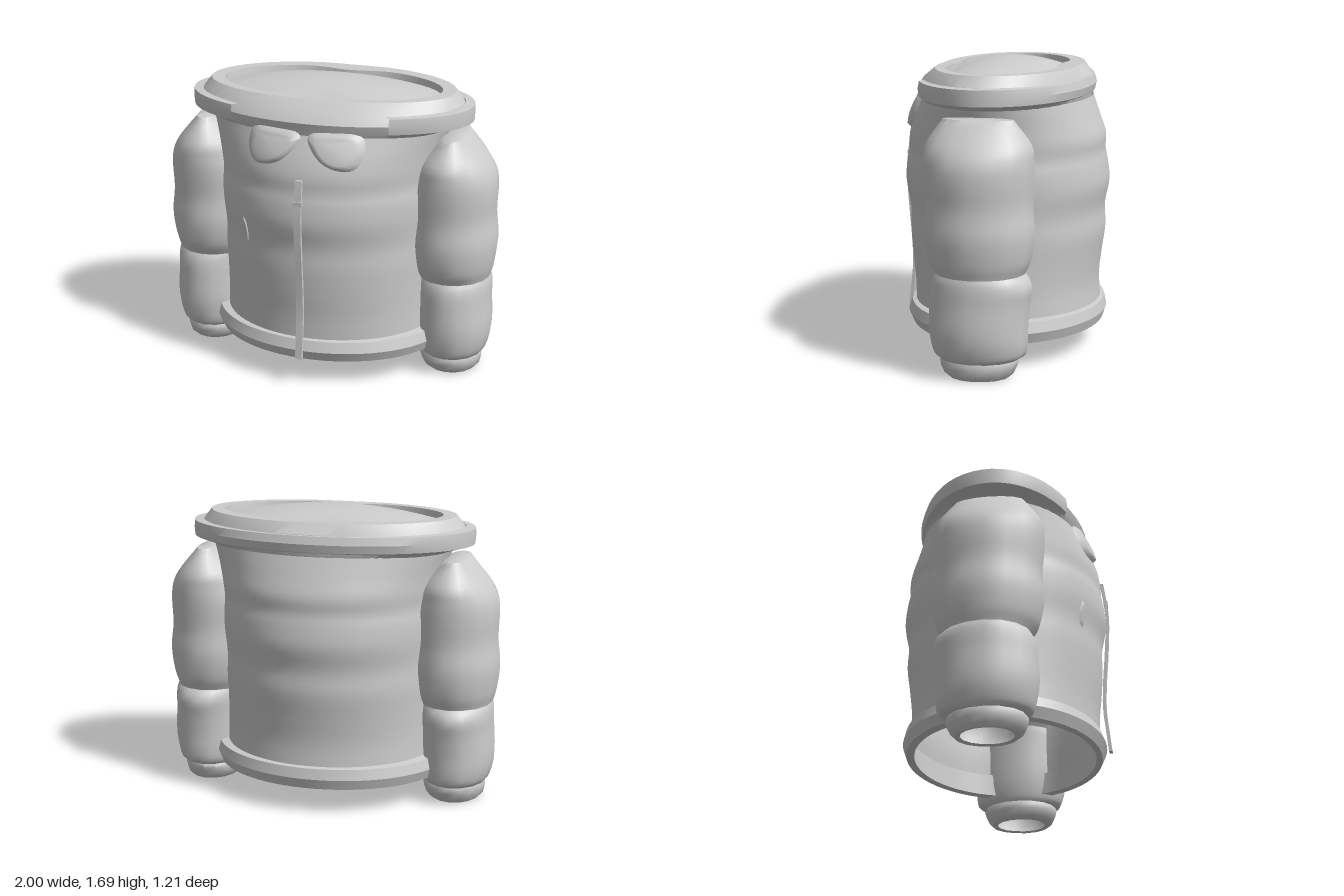
import * as THREE from 'three';
import { toCreasedNormals } from 'three/addons/utils/BufferGeometryUtils.js';

const fabric = new THREE.MeshStandardMaterial({ color: 0xcccccc, side: THREE.DoubleSide });
fabric.name = 'grey fabric';

// Row: [y, half width, front depth, back depth, centre x, pinch at the middle]
function smoothRows(rows, n) {
  const p = new THREE.CatmullRomCurve3(rows.map(r => new THREE.Vector3(r[0], r[1], r[4] || 0)), false, 'catmullrom', 0.5);
  const q = new THREE.CatmullRomCurve3(rows.map(r => new THREE.Vector3(r[2], r[3], 0)), false, 'catmullrom', 0.5);
  return Array.from({ length: n + 1 }, (_, i) => {
    const a = p.getPoint(i / n), b = q.getPoint(i / n);
    return [a.x, a.y, b.x, b.y, a.z];
  });
}

// Skin of oval rings, optionally over part of the turn
function loft(rows, { from = 0, to = Math.PI * 2, seg = 48, crease = 0.7 } = {}) {
  const closed = to - from > 6.28, cols = closed ? seg : seg + 1;
  const pos = [], index = [];
  for (const [y, a, zf, zb, cx = 0, pinch = 0] of rows) {
    for (let j = 0; j < cols; j++) {
      const t = from + (to - from) * j / seg, x = a * Math.cos(t), s = Math.sin(t);
      const z = s * (s > 0 ? zf : zb) * (1 - pinch * Math.exp(-((x / 0.17) ** 2)));
      pos.push(cx + x, y, z);
    }
  }
  for (let i = 0; i < rows.length - 1; i++) {
    for (let j = 0; j < seg; j++) {
      const a = i * cols + j, b = i * cols + (j + 1) % cols, c = a + cols, d = b + cols;
      index.push(a, c, b, b, c, d);
    }
  }
  const g = new THREE.BufferGeometry();
  g.setAttribute('position', new THREE.Float32BufferAttribute(pos, 3));
  g.setIndex(index);
  return toCreasedNormals(g, crease);
}

const bodyRows = smoothRows([
  [0.24, 0.635, 0.53, 0.56], [0.4, 0.63, 0.535, 0.55], [0.55, 0.63, 0.55, 0.565],
  [0.7, 0.635, 0.56, 0.585], [0.83, 0.635, 0.56, 0.58], [0.97, 0.645, 0.585, 0.605],
  [1.08, 0.65, 0.58, 0.595], [1.16, 0.645, 0.565, 0.58], [1.25, 0.655, 0.56, 0.58],
  [1.35, 0.675, 0.53, 0.545], [1.47, 0.71, 0.475, 0.5],
], 40);

// Front surface depth of the body at a point
function bodyZ(x, y) {
  let i = bodyRows.findIndex(r => r[0] >= y);
  if (i < 1) i = bodyRows.length - 1;
  const A = bodyRows[i - 1], B = bodyRows[i], k = Math.min(1, (y - A[0]) / (B[0] - A[0]));
  const a = A[1] + (B[1] - A[1]) * k, z = A[2] + (B[2] - A[2]) * k;
  return z * Math.sqrt(Math.max(0, 1 - (x / a) ** 2));
}

// Slightly padded patch lying on the front of the body
function patch(outline, lift, bulge) {
  const curve = new THREE.CatmullRomCurve3(outline.map(p => new THREE.Vector3(p[0], p[1], 0)), true, 'catmullrom', 0.4);
  const c = new THREE.Vector3();
  outline.forEach(p => c.add(new THREE.Vector3(p[0], p[1], 0)));
  c.divideScalar(outline.length);
  const seg = 32, rings = 6, g = new THREE.RingGeometry(0, 1, seg, rings), P = g.attributes.position;
  for (let i = 0; i < P.count; i++) {
    const r = Math.floor(i / (seg + 1)) / rings;
    const v = curve.getPoint((i % (seg + 1)) / seg % 1).sub(c).multiplyScalar(r).add(c);
    P.setXYZ(i, v.x, v.y, bodyZ(v.x, v.y) + (r > 0.99 ? 0.004 : lift + bulge * (1 - r * r)));
  }
  g.computeVertexNormals();
  return g;
}

export function createModel() {
  const model = new THREE.Group();
  model.name = 'paddedJacket';
  const add = (name, geo, parent = model) => {
    const m = new THREE.Mesh(geo, fabric);
    m.name = name;
    parent.add(m);
    return m;
  };

  // Torso and the wider hem band
  add('torso', loft(bodyRows, { seg: 64, crease: 1.2 }));
  add('hem', loft([
    [0.28, 0.62, 0.515, 0.545], [0.15, 0.62, 0.51, 0.53], [0.15, 0.68, 0.545, 0.575],
    [0.21, 0.705, 0.572, 0.595], [0.27, 0.69, 0.55, 0.58], [0.28, 0.62, 0.515, 0.545],
  ], { seg: 64, crease: 0.5 }));

  // Neck ring, wrapped collar band open at the front, domed closing panel
  add('neckRing', loft([
    [1.45, 0.69, 0.465, 0.49], [1.49, 0.775, 0.475, 0.5], [1.54, 0.785, 0.488, 0.505], [1.59, 0.775, 0.455, 0.49],
    [1.65, 0.73, 0.385, 0.45, 0, 0.04], [1.65, 0.65, 0.33, 0.365, 0, 0.17], [1.59, 0.64, 0.32, 0.355, 0, 0.17],
  ], { crease: 0.4 }));
  const end = Math.acos(0.55);
  add('collarBand', loft([
    [1.59, 0.76, 0.45, 0.46], [1.47, 0.74, 0.45, 0.47], [1.495, 0.835, 0.48, 0.505],
    [1.54, 0.838, 0.49, 0.515], [1.585, 0.836, 0.48, 0.5], [1.59, 0.78, 0.45, 0.475],
  ], { from: Math.PI - end, to: Math.PI * 2 + end, crease: 0.4 }));
  const dome = [];
  for (let i = 0; i <= 8; i++) {
    const r = Math.max(0.001, 1 - i / 8);
    dome.push([1.61 + 0.08 * (1 - r * r), 0.645 * r, 0.325 * r, 0.36 * r, 0, 0.17 * r * r]);
  }
  add('neckPanel', loft(dome, { crease: 1.2 }));

  // Puffed sleeves with open cuffs
  for (const s of [1, -1]) {
    const arm = new THREE.Group();
    arm.name = s > 0 ? 'leftSleeve' : 'rightSleeve';
    model.add(arm);
    const side = rows => rows.map(r => [r[0], r[1], r[2], r[3], r[4] * s]);
    const upper = smoothRows(side([
      [0.58, 0.215, 0.23, 0.265, 0.748], [0.66, 0.245, 0.275, 0.3, 0.74], [0.8, 0.265, 0.298, 0.32, 0.735],
      [0.95, 0.256, 0.288, 0.308, 0.73], [1.1, 0.258, 0.3, 0.315, 0.732], [1.2, 0.238, 0.302, 0.315, 0.737],
      [1.29, 0.19, 0.285, 0.3, 0.733], [1.42, 0.065, 0.19, 0.205, 0.745],
    ]), 28);
    upper.push([1.42, 0.001, 0.001, 0.001, 0.745 * s]);
    add('upperSleeve', loft(upper, { seg: 16, crease: 0.9 }), arm);
    add('lowerSleeve', loft([
      [0.105, 0.16, 0.185, 0.21, 0.755 * s],
      ...smoothRows(side([
        [0.105, 0.18, 0.21, 0.235, 0.757], [0.135, 0.195, 0.24, 0.275, 0.76], [0.21, 0.212, 0.26, 0.288, 0.764],
        [0.3, 0.218, 0.27, 0.29, 0.764], [0.42, 0.215, 0.265, 0.3, 0.76], [0.5, 0.215, 0.258, 0.312, 0.758],
        [0.55, 0.215, 0.245, 0.295, 0.754], [0.585, 0.212, 0.225, 0.262, 0.748],
      ]), 21),
    ], { seg: 16, crease: 0.9 }), arm);
    add('cuff', loft(side([
      [0.14, 0.13, 0.145, 0.165, 0.755], [0.05, 0.145, 0.16, 0.18, 0.755], [0.005, 0.12, 0.135, 0.155, 0.755],
      [0, 0.145, 0.16, 0.185, 0.755], [0.02, 0.168, 0.185, 0.205, 0.753], [0.06, 0.18, 0.205, 0.225, 0.75],
      [0.09, 0.182, 0.21, 0.235, 0.75], [0.11, 0.172, 0.2, 0.225, 0.752],
    ]), { seg: 16, crease: 0.9 }), arm);
  }

  // Rounded collar flaps
  for (const s of [1, -1]) {
    add(s > 0 ? 'leftCollarFlap' : 'rightCollarFlap', patch([
      [0.02, 1.455], [0.06, 1.39], [0.12, 1.335], [0.19, 1.305], [0.265, 1.298], [0.315, 1.325],
      [0.34, 1.39], [0.33, 1.465], [0.28, 1.497], [0.16, 1.497], [0.05, 1.49],
    ].map(p => [p[0] * s, p[1]]), 0.024, 0.014));
  }

  // Pocket opening on the right of the chest
  add('pocket', patch([
    [-0.375, 0.955], [-0.352, 0.93], [-0.342, 0.86], [-0.345, 0.805], [-0.368, 0.82], [-0.382, 0.89],
  ], 0.01, 0.006));

  // Zip strip following the front, with its pull
  const zip = new THREE.BoxGeometry(0.04, 1.07, 0.02, 1, 24, 1).translate(0, 0.705, 0);
  const path = new THREE.SplineCurve([[0.17, 0.594], [0.42, 0.568], [0.6, 0.572], [0.8, 0.588], [1.0, 0.597], [1.12, 0.588], [1.24, 0.57]]
    .map(p => new THREE.Vector2(p[0], p[1])));
  const samples = path.getPoints(120), P = zip.attributes.position;
  for (let i = 0; i < P.count; i++) {
    const near = samples.reduce((m, p) => Math.abs(p.x - P.getY(i)) < Math.abs(m.x - P.getY(i)) ? p : m);
    P.setZ(i, P.getZ(i) + near.y);
  }
  zip.computeVertexNormals();
  add('zip', zip);
  add('zipPull', new THREE.BoxGeometry(0.05, 0.025, 0.02)).position.set(0, 1.11, 0.592);

  return model;
}
